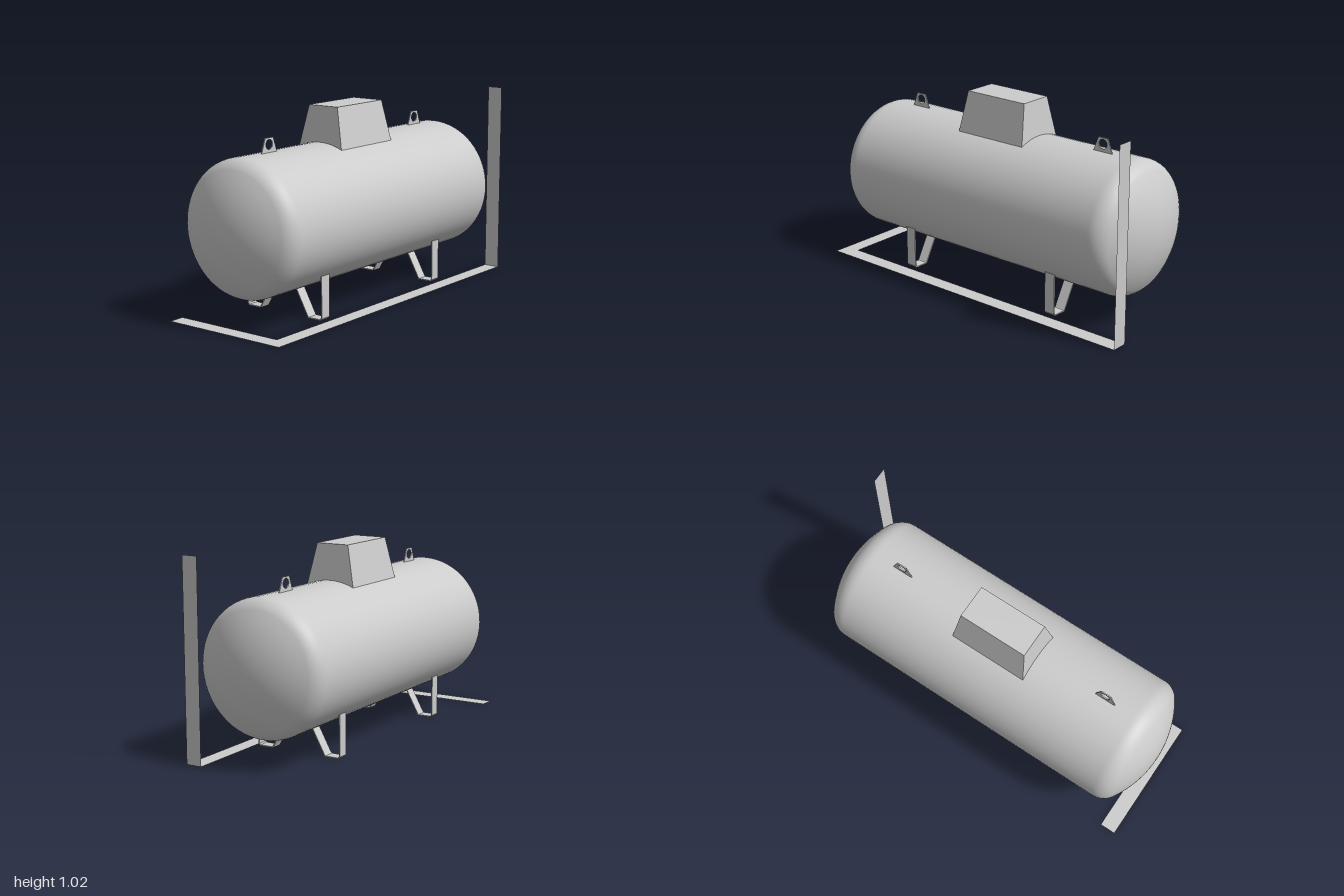
import * as THREE from 'three';

const CX = -0.05, CY = 0.482, CZ = -0.037; // tank centre
const R = 0.349;                           // tank radius
const HALF = 0.962;                        // half length including the heads

const material = new THREE.MeshStandardMaterial({ color: 0xcccccc });
const thinMaterial = new THREE.MeshStandardMaterial({ color: 0xcccccc, side: THREE.DoubleSide });

function add(group, name, geometry, mat = material) {
  const mesh = new THREE.Mesh(geometry, mat);
  mesh.name = name;
  group.add(mesh);
  return mesh;
}

const shapeOf = (pts) => new THREE.Shape(pts.map(([x, y]) => new THREE.Vector2(x, y)));

// Height of the tank surface above its axis at a sideways offset
const rise = (dx) => Math.sqrt(R * R - dx * dx);

// Cylinder with dished heads: a large crown arc blending into a small knuckle arc
function tankGeometry() {
  const crown = 0.56, knuckle = 0.107;
  const phi = Math.asin((R - knuckle) / (crown - knuckle));
  const tangent = HALF - crown + (crown - knuckle) * Math.cos(phi);
  const head = [new THREE.Vector2(R, tangent - 0.01)];
  for (let i = 0; i <= 10; i++) {
    const a = (i / 10) * (Math.PI / 2 - phi);
    head.push(new THREE.Vector2(R - knuckle + knuckle * Math.cos(a), tangent + knuckle * Math.sin(a)));
  }
  for (let i = 1; i <= 10; i++) {
    const a = phi * (1 - i / 10);
    head.push(new THREE.Vector2(crown * Math.sin(a), HALF - crown + crown * Math.cos(a)));
  }
  const back = head.map((p) => new THREE.Vector2(p.x, -p.y)).reverse();
  return new THREE.LatheGeometry([...back, ...head], 64).rotateX(Math.PI / 2);
}

// Tapered hood whose underside follows the tank
function hoodGeometry() {
  const w = 0.137, top = 1.015 - CY, base = rise(w);
  const pts = [[0.091, top], [-0.091, top]];
  for (let i = 0; i <= 16; i++) {
    const x = -w + (2 * w * i) / 16;
    pts.push([x, rise(x)]);
  }
  const g = new THREE.ExtrudeGeometry(shapeOf(pts), { depth: 1, bevelEnabled: false });
  const p = g.attributes.position;
  for (let i = 0; i < p.count; i++) {
    const t = (p.getY(i) - base) / (top - base);
    const zBack = THREE.MathUtils.lerp(-0.247, -0.222, t);
    const zFront = THREE.MathUtils.lerp(0.178, 0.152, t);
    p.setZ(i, THREE.MathUtils.lerp(zBack, zFront, p.getZ(i)) - CZ);
  }
  g.computeVertexNormals();
  return g;
}

// Lifting lug: thin trapezoid plate with an eye
function lugGeometry() {
  const s = shapeOf([[-0.058, R - 0.004], [0.058, R - 0.004], [0.029, 0.422], [-0.029, 0.422]]);
  s.holes.push(new THREE.Path().absarc(0, 0.389, 0.025, 0, Math.PI * 2, true));
  return new THREE.ExtrudeGeometry(s, { depth: 0.006, bevelEnabled: false, curveSegments: 12 })
    .translate(0, 0, -0.003).rotateY(Math.PI / 2);
}

// Bent strap leg: vertical outside, flat foot, slanting inside
function legGeometry(side) {
  const pts = [
    [0.243, 0.229], [0.243, 0.013], [0.233, 0.002], [0.158, 0.002], [0.152, 0.006], [0.076, 0.143],
    [0.083, 0.143], [0.156, 0.011], [0.16, 0.008], [0.231, 0.008], [0.237, 0.015], [0.237, 0.229],
  ];
  return new THREE.ExtrudeGeometry(shapeOf(pts.map(([x, y]) => [x * side, y])), { depth: 0.06, bevelEnabled: false })
    .translate(0, 0, -0.03);
}

export function createModel() {
  const model = new THREE.Group();
  model.name = 'storageTank';

  const vessel = new THREE.Group();
  vessel.name = 'vessel';
  vessel.position.set(CX, CY, CZ);
  model.add(vessel);
  add(vessel, 'tankShell', tankGeometry());
  add(vessel, 'valveHood', hoodGeometry());

  for (const end of [1, -1]) {
    const label = end > 0 ? 'front' : 'back';
    add(vessel, label + 'LiftingLug', lugGeometry()).position.z = end * 0.612;
    for (const side of [1, -1]) {
      const name = label + (side > 0 ? 'Left' : 'Right') + 'Leg';
      add(model, name, legGeometry(side)).position.set(CX, 0, CZ + end * 0.48);
    }
  }

  // Flat measuring strips: length and width on the ground, height upright at the back
  const lengthStrip = new THREE.PlaneGeometry(0.086, 1.925).rotateX(-Math.PI / 2);
  add(model, 'lengthStrip', lengthStrip, thinMaterial).position.set(0.257, 0.001, CZ);
  const widthStrip = new THREE.PlaneGeometry(0.614, 0.086).rotateX(-Math.PI / 2);
  add(model, 'widthStrip', widthStrip, thinMaterial).position.set(-0.093, 0.001, 0.882);
  const heightStrip = new THREE.PlaneGeometry(0.086, 1.025);
  add(model, 'heightStrip', heightStrip, thinMaterial).position.set(0.257, 0.5125, -0.999);

  return model;
}
